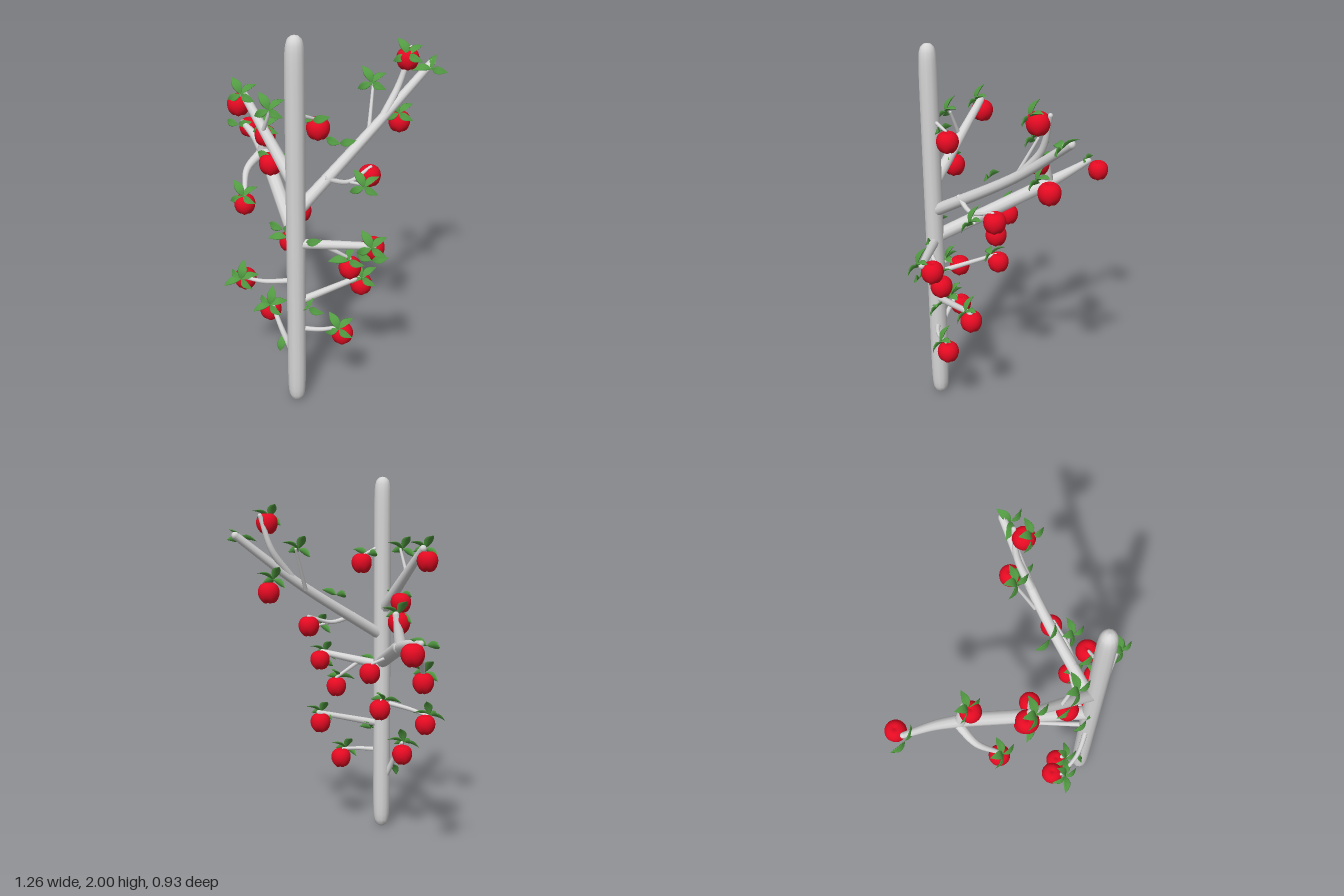
import * as THREE from 'three';

const TRUNK_X = 0.067, TRUNK_Z = 0.41, TRUNK_R = 0.048;

export function createModel() {
  const root = new THREE.Group();
  const bark = new THREE.MeshStandardMaterial({ color: 0xd6d6d6, name: 'bark grey' });
  const red = new THREE.MeshStandardMaterial({ color: 0xe40a22, name: 'apple red' });
  const green = new THREE.MeshStandardMaterial({ color: 0x529a42, name: 'leaf green' });

  const add = (name, geo, mat, pos, parent = root) => {
    const m = new THREE.Mesh(geo, mat);
    m.name = name;
    m.position.set(...pos);
    parent.add(m);
    return m;
  };

  // Lathe outline from a rule giving [radius, height] for angles from bottom to top
  const lathe = (steps, sides, rule) => {
    const points = [];
    for (let i = 0; i <= steps; i++) {
      const [r, y] = rule((i / steps - 0.5) * Math.PI);
      points.push(new THREE.Vector2(Math.max(r, 0), y));
    }
    return new THREE.LatheGeometry(points, sides);
  };

  // Trunk: straight pole, narrowing slightly to blunt ends
  const trunk = lathe(32, 12, (a) => {
    const t = Math.abs(Math.sin(a));
    return [TRUNK_R * (1 - 0.2 * t ** 16) * Math.sqrt(1 - t ** 60), 1 + Math.sin(a)];
  });
  add('trunk', trunk, bark, [TRUNK_X, 0, TRUNK_Z]);

  // Leaf: pointed lens along +x, creased at the midrib and arched lengthwise
  const leaf = new THREE.SphereGeometry(0.5, 10, 10).rotateZ(Math.PI / 2);
  const lp = leaf.attributes.position;
  for (let i = 0; i < lp.count; i++) {
    const t = lp.getX(i) + 0.5;
    const w = Math.max(Math.sin(Math.PI * t), 0) ** 0.5 * (1 - 0.35 * t);
    const y = lp.getY(i) * 0.55 * w;
    const z = lp.getZ(i) * 0.16 * w;
    lp.setXYZ(i, t, y, z + Math.abs(y) * 0.35 + 0.12 * Math.sin(Math.PI * t) - 0.1 * t);
  }
  leaf.computeVertexNormals();

  // Leaves fan out on a plane tilted toward the front, each rolled and pitched a little
  function leafCluster(count, pos) {
    const g = new THREE.Group();
    g.name = 'leafCluster';
    g.position.set(...pos);
    g.rotation.x = -0.65;
    for (let i = 0; i < count; i++) {
      const l = add('leaf', leaf, green, [0, 0, 0], g);
      const turn = THREE.MathUtils.degToRad(300 * (i + 0.5) / count - 60);
      l.rotation.set(i % 2 ? -0.35 : 0.35, i % 2 ? 0.25 : -0.2, turn, 'ZYX');
      l.scale.setScalar(0.086 + 0.008 * (i % 3));
    }
    root.add(g);
  }

  // Tapered branch with a round tip; a plain number as start is a height on the trunk
  function branch(name, r0, r1, leaves, start, ...rest) {
    const first = typeof start === 'number' ? [TRUNK_X, start, TRUNK_Z] : start;
    const tip = rest[rest.length - 1];
    const curve = new THREE.CatmullRomCurve3([first, ...rest].map((p) => new THREE.Vector3(...p)));
    const seg = 12, sides = 10;
    const geo = new THREE.TubeGeometry(curve, seg, 1, sides);
    const p = geo.attributes.position, v = new THREE.Vector3();
    for (let k = 0; k < p.count; k++) {
      const t = Math.floor(k / (sides + 1)) / seg;
      const c = curve.getPointAt(t);
      v.fromBufferAttribute(p, k).sub(c).multiplyScalar(r0 + (r1 - r0) * t).add(c);
      p.setXYZ(k, v.x, v.y, v.z);
    }
    const g = new THREE.Group();
    g.name = name;
    add('limb', geo, bark, [0, 0, 0], g);
    add('tip', new THREE.SphereGeometry(r1, 10, 8), bark, tip, g);
    root.add(g);
    if (leaves) leafCluster(leaves, [tip[0], tip[1], tip[2] + 0.025]);
  }

  // Upper left limb with its fork and twigs
  branch('upperLeftBranch', 0.032, 0.021, 0, 1.12, [0.34, 1.44, -0.05], [0.54, 1.69, -0.32]);
  branch('upperLeftFork', 0.022, 0.012, 0, [0.36, 1.47, -0.08], [0.41, 1.61, -0.18], [0.455, 1.79, -0.22]);
  branch('upperLeftTwig', 0.011, 0.007, 4, [0.3, 1.4, -0.03], [0.285, 1.62, -0.15]);
  branch('hangingTwig', 0.014, 0.008, 0, [0.16, 1.25, 0.26], [0.26, 1.21, 0.18], [0.34, 1.25, 0.06]);
  branch('hangingTwigFork', 0.009, 0.006, 4, [0.26, 1.21, 0.18], [0.34, 1.19, 0.15]);

  // Upper right limb
  branch('upperRightBranch', 0.034, 0.02, 4, 1.26, [-0.27, 1.62, 0.21]);
  branch('upperRightTwig', 0.011, 0.007, 4, [-0.14, 1.46, 0.3], [-0.08, 1.61, 0.335]);

  // Long right limb swelling into a knot that splits three ways
  branch('longRightBranch', 0.036, 0.036, 0, 0.97, [-0.31, 1.15, -0.15]);
  branch('longRightEnd', 0.036, 0.016, 0, [-0.29, 1.14, -0.12], [-0.4, 1.18, -0.25], [-0.52, 1.21, -0.36]);
  branch('longRightUpFork', 0.034, 0.017, 4, [-0.32, 1.14, -0.15], [-0.285, 1.31, -0.14]);
  branch('longRightDownFork', 0.027, 0.011, 4, [-0.33, 1.14, -0.16], [-0.37, 1.08, -0.04], [-0.34, 0.99, 0.07]);
  branch('innerSpur', 0.01, 0.007, 0, [-0.11, 1.05, 0.13], [-0.03, 1.01, 0.1]);

  // Short side branches
  branch('levelLeftBranch', 0.026, 0.018, 4, 0.95, [0.45, 1, 0.395]);
  branch('levelLeftTwig', 0.012, 0.008, 3, [0.22, 0.955, 0.4], [0.32, 0.87, 0.33]);
  branch('midRightTwig', 0.014, 0.01, 3, 0.76, [-0.08, 0.81, 0.11]);
  branch('frontRightTwig', 0.015, 0.009, 5, 0.74, [-0.1, 0.71, 0.425], [-0.23, 0.69, 0.39]);
  branch('lowLeftBranch', 0.02, 0.014, 4, 0.61, [0.35, 0.69, 0.18]);
  branch('bottomLeftTwig', 0.014, 0.009, 4, 0.455, [0.19, 0.455, 0.385], [0.275, 0.455, 0.33]);
  branch('bottomRightTwig', 0.018, 0.011, 5, 0.25, [-0.01, 0.4, 0.4], [-0.095, 0.53, 0.34]);
  branch('topSpur', 0.011, 0.007, 2, 1.63, [0.13, 1.58, 0.32]);

  // Leaves growing along the trunk and limbs
  leafCluster(3, [0.55, 1.67, -0.28]);
  leafCluster(2, [-0.54, 1.2, -0.34]);
  leafCluster(4, [0.46, 1.78, -0.13]);
  leafCluster(4, [0.42, 1.46, -0.16]);
  leafCluster(2, [0.19, 1.37, 0.1]);
  leafCluster(2, [-0.08, 1.36, 0.34]);
  leafCluster(2, [0, 1.02, 0.41]);
  leafCluster(2, [0.12, 0.97, 0.42]);
  leafCluster(2, [0.45, 0.93, 0.41]);
  leafCluster(3, [0.13, 0.58, 0.4]);
  leafCluster(1, [-0.015, 0.31, 0.44]);

  // Apple: shallow dimple on top, narrowing to five soft lobes at the base
  const apple = lathe(20, 25, (a) => {
    const s = Math.sin(a);
    const r = 0.056 * Math.max(Math.cos(a), 0) ** 0.8 * (1 + 0.07 * s);
    return [r, 0.055 * s - 0.01 * Math.sign(s) * Math.exp(-((r / 0.012) ** 2))];
  });
  const ap = apple.attributes.position;
  for (let i = 0; i < ap.count; i++) {
    const x = ap.getX(i), y = ap.getY(i), z = ap.getZ(i);
    if (y < 0) ap.setY(i, y * (1 + 2 * Math.hypot(x, z) * Math.cos(5 * Math.atan2(z, x))));
  }
  apple.computeVertexNormals();
  const apples = [
    [0.45, 1.75, -0.165], [0.41, 1.395, -0.218], [0.145, 1.53, 0.31], [-0.298, 1.555, 0.205], [-0.09, 1.32, 0.325],
    [-0.285, 1.265, -0.103], [-0.505, 1.162, -0.415], [-0.34, 0.936, 0.075], [0.333, 1.196, 0.052], [-0.018, 0.957, 0.097],
    [0.438, 0.96, 0.347], [0.32, 0.817, 0.33], [-0.08, 0.766, 0.095], [-0.237, 0.65, 0.34], [0.338, 0.634, 0.178],
    [0.282, 0.404, 0.315], [-0.11, 0.47, 0.315],
  ];
  for (const pos of apples) add('apple', apple, red, pos);
  return root;
}
